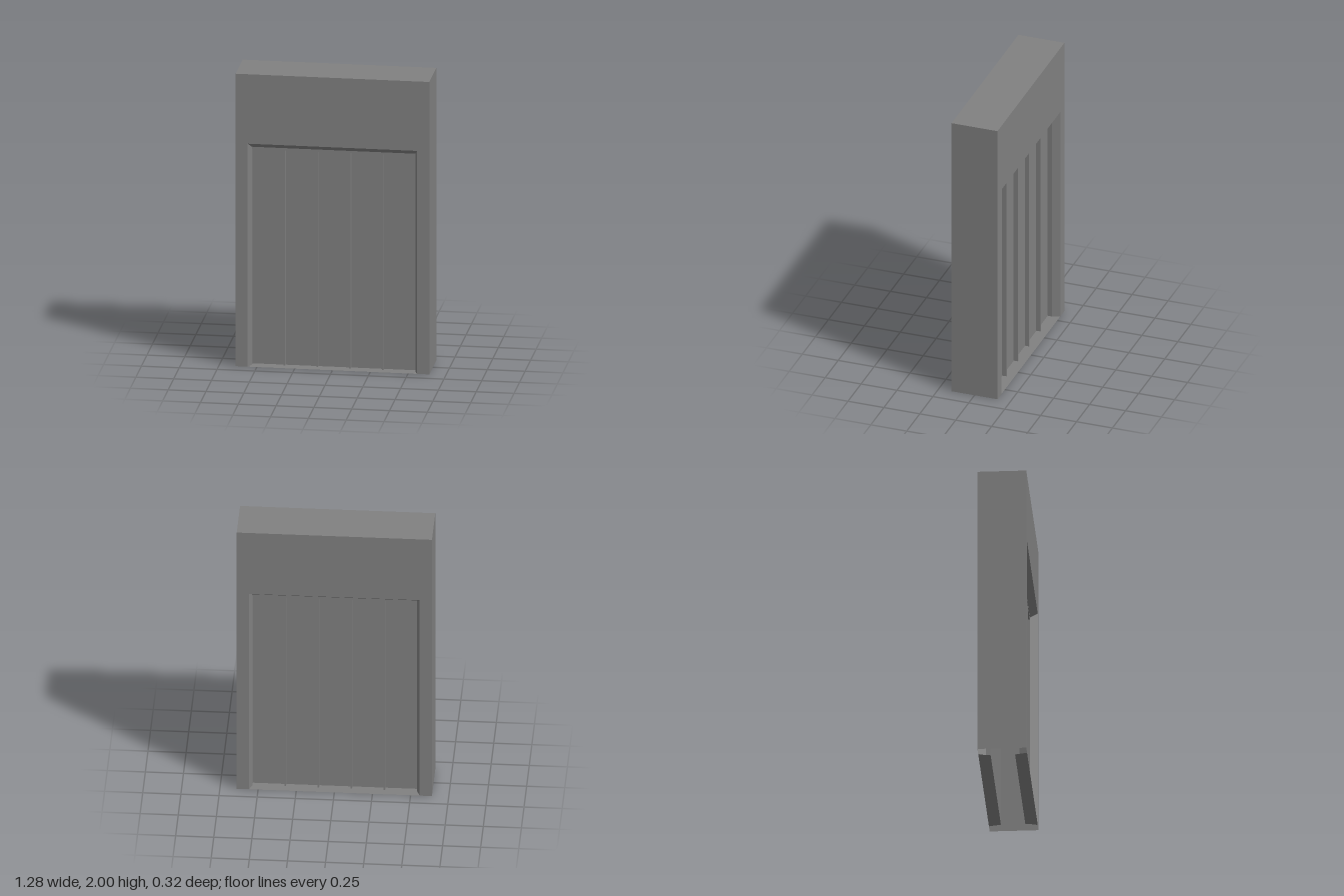
import * as THREE from 'three';

const W = 0.64, H = 2, D = 0.16;            // half width, height, half depth of the wall
const OX = 0.56, OY = 1.525;                // opening at the wall face
const IX = 0.54, IY = 1.49;                 // opening at the door
const RIB_Z = 0.11, PLANK_Z = 0.08, PLANK_TOP = 1.475;
const RIB_X = [-0.325, -0.108, 0.108, 0.325], RIB_W = 0.01;

// Flat polygon from corners listed counter-clockwise as seen from outside
function face(...p) {
  const g = new THREE.BufferGeometry();
  const tris = [];
  for (let i = 1; i < p.length - 1; i++) tris.push(...p[0], ...p[i], ...p[i + 1]);
  g.setAttribute('position', new THREE.Float32BufferAttribute(tris, 3));
  g.computeVertexNormals();
  return g;
}

export function createModel() {
  const model = new THREE.Group();
  model.name = 'doorWall';
  const grey = new THREE.MeshStandardMaterial({ color: 0x808080, side: THREE.DoubleSide });
  grey.name = 'grey';

  const add = (parent, name, geometry) => {
    const mesh = new THREE.Mesh(geometry, grey);
    mesh.name = name;
    parent.add(mesh);
    return mesh;
  };

  // Top and ends of the hollow wall, open underneath
  add(model, 'wallTop', face([-W, H, D], [W, H, D], [W, H, -D], [-W, H, -D]));
  add(model, 'leftEnd', face([W, 0, D], [W, 0, -D], [W, H, -D], [W, H, D]));
  add(model, 'rightEnd', face([-W, 0, -D], [-W, 0, D], [-W, H, D], [-W, H, -D]));

  // The same recessed door on the front and the back
  for (const [name, turn] of [['frontSide', 0], ['backSide', Math.PI]]) {
    const side = new THREE.Group();
    side.name = name;
    side.rotation.y = turn;
    model.add(side);

    // Wall face around the opening
    const outline = new THREE.Shape([
      [-W, 0], [-OX, 0], [-OX, OY], [OX, OY], [OX, 0], [W, 0], [W, H], [-W, H],
    ].map(([x, y]) => new THREE.Vector2(x, y)));
    add(side, 'wallFace', new THREE.ShapeGeometry(outline).translate(0, 0, D));

    // Splayed reveal, then a straight step back to the planks
    add(side, 'revealRight', face([-OX, 0, D], [-IX, 0, RIB_Z], [-IX, IY, RIB_Z], [-OX, OY, D]));
    add(side, 'revealLeft', face([IX, 0, RIB_Z], [OX, 0, D], [OX, OY, D], [IX, IY, RIB_Z]));
    add(side, 'revealTop', face([-IX, IY, RIB_Z], [IX, IY, RIB_Z], [OX, OY, D], [-OX, OY, D]));
    add(side, 'stepRight', face([-IX, 0, RIB_Z], [-IX, 0, PLANK_Z], [-IX, IY, PLANK_Z], [-IX, IY, RIB_Z]));
    add(side, 'stepLeft', face([IX, 0, PLANK_Z], [IX, 0, RIB_Z], [IX, IY, RIB_Z], [IX, IY, PLANK_Z]));

    // Threshold
    add(side, 'threshold', face([-OX, 0, D], [OX, 0, D], [IX, 0, RIB_Z], [IX, 0, PLANK_Z],
      [-IX, 0, PLANK_Z], [-IX, 0, RIB_Z]));

    // Header and upright ribs
    const ribDepth = RIB_Z - PLANK_Z, ribMid = (RIB_Z + PLANK_Z) / 2;
    add(side, 'header', new THREE.BoxGeometry(2 * IX, IY - PLANK_TOP, ribDepth))
      .position.set(0, (IY + PLANK_TOP) / 2, ribMid);
    for (const x of RIB_X) {
      add(side, 'rib', new THREE.BoxGeometry(RIB_W, PLANK_TOP - 0.002, ribDepth))
        .position.set(x, PLANK_TOP / 2 + 0.001, ribMid);
    }

    // Planks between the ribs
    const edges = [-IX, ...RIB_X, IX];
    for (let i = 0; i < edges.length - 1; i++) {
      const width = edges[i + 1] - edges[i];
      add(side, 'plank', new THREE.PlaneGeometry(width, PLANK_TOP))
        .position.set((edges[i] + edges[i + 1]) / 2, PLANK_TOP / 2, PLANK_Z);
    }
  }
  return model;
}
